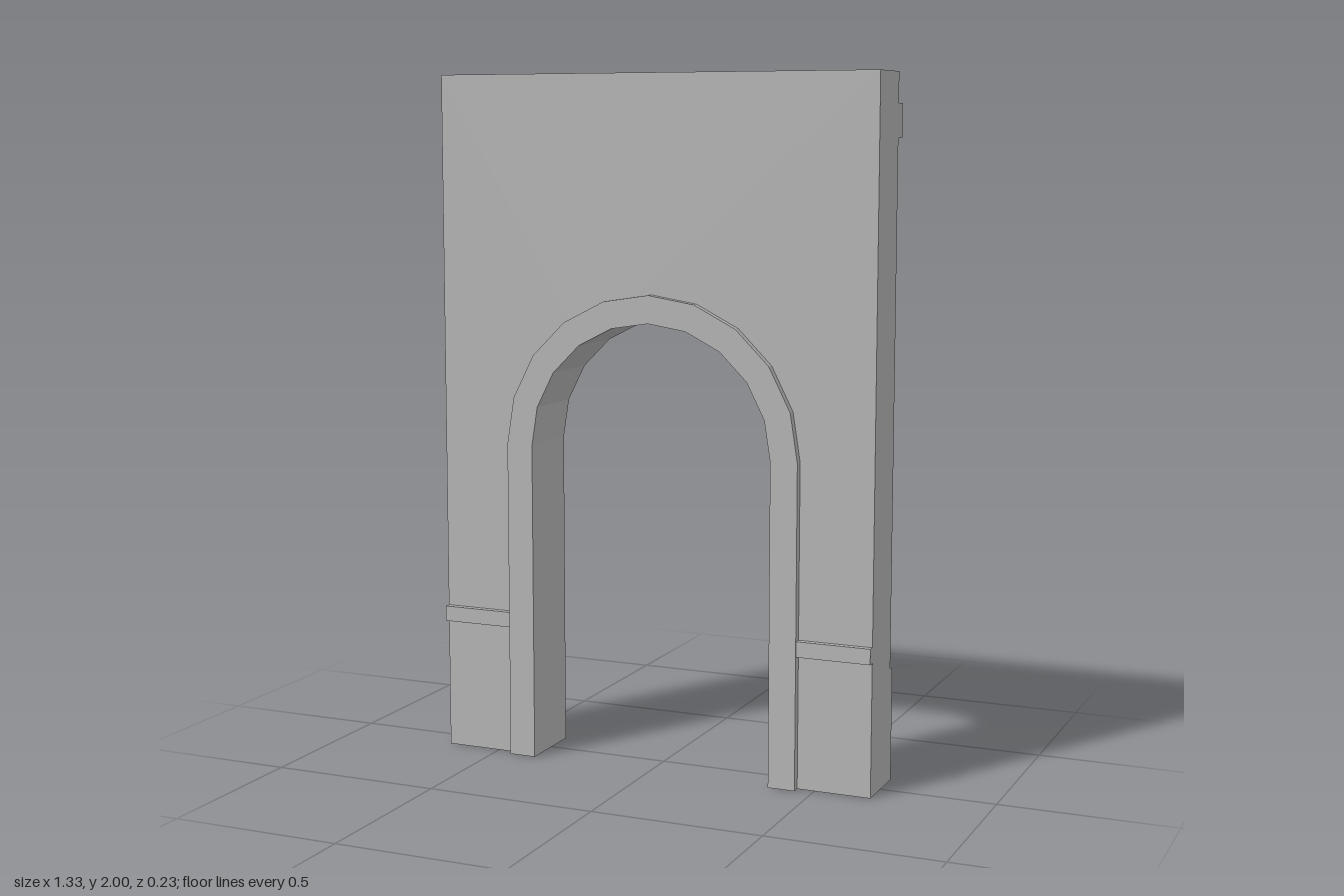
import * as THREE from 'three';

const W = 0.665, SPRING = 0.933, R_IN = 0.369, R_OUT = 0.449;
const Z_FRONT = 0.09, Z_BACK = -0.077;

// Ten-sided half circle from the +x springing point over to -x
function arc(r) {
  return Array.from({ length: 11 }, (_, i) => {
    const a = (i * Math.PI) / 10;
    return [r * Math.cos(a), SPRING + r * Math.sin(a)];
  });
}

// Closed outline: outer edge from right foot to left foot, back along the opening
function archShape(outer) {
  const inner = [[R_IN, 0], ...arc(R_IN), [-R_IN, 0]].reverse();
  return new THREE.Shape([...outer, ...inner].map(([x, y]) => new THREE.Vector2(x, y)));
}

export function createModel() {
  const stone = new THREE.MeshStandardMaterial({ color: 0xb4b4b4 });
  stone.name = 'grey stone';
  const group = new THREE.Group();
  group.name = 'archway';

  function add(name, geometry) {
    const mesh = new THREE.Mesh(geometry, stone);
    mesh.name = name;
    group.add(mesh);
    return mesh;
  }
  function slab(name, outer, z0, z1) {
    const geometry = new THREE.ExtrudeGeometry(archShape(outer), { depth: z1 - z0, bevelEnabled: false });
    add(name, geometry.translate(0, 0, z0));
  }
  function box(name, x0, x1, y0, y1, z0, z1) {
    add(name, new THREE.BoxGeometry(x1 - x0, y1 - y0, z1 - z0))
      .position.set((x0 + x1) / 2, (y0 + y1) / 2, (z0 + z1) / 2);
  }

  // Wall with the arched opening
  slab('wall', [[W, 0], [W, 2], [-W, 2], [-W, 0]], Z_BACK, Z_FRONT);

  // Raised surround on the front, running down to the ground
  slab('frontSurround', [[R_OUT, 0], ...arc(R_OUT), [-R_OUT, 0]], Z_FRONT, 0.113);

  // Back surround that widens into a plinth on each pier
  const p = 0.33;
  slab('backSurround',
    [[W, 0], [W, p], [R_OUT, p], ...arc(R_OUT), [-R_OUT, p], [-W, p], [-W, 0]], -0.097, Z_BACK);

  // Narrow string course on the front of each pier
  box('leftStringCourse', R_OUT, W, 0.385, 0.43, Z_FRONT, 0.109);
  box('rightStringCourse', -W, -R_OUT, 0.385, 0.43, Z_FRONT, 0.109);

  // Cornice across the back
  box('backCornice', -W, W, 1.82, 1.915, -0.113, Z_BACK);

  return group;
}
